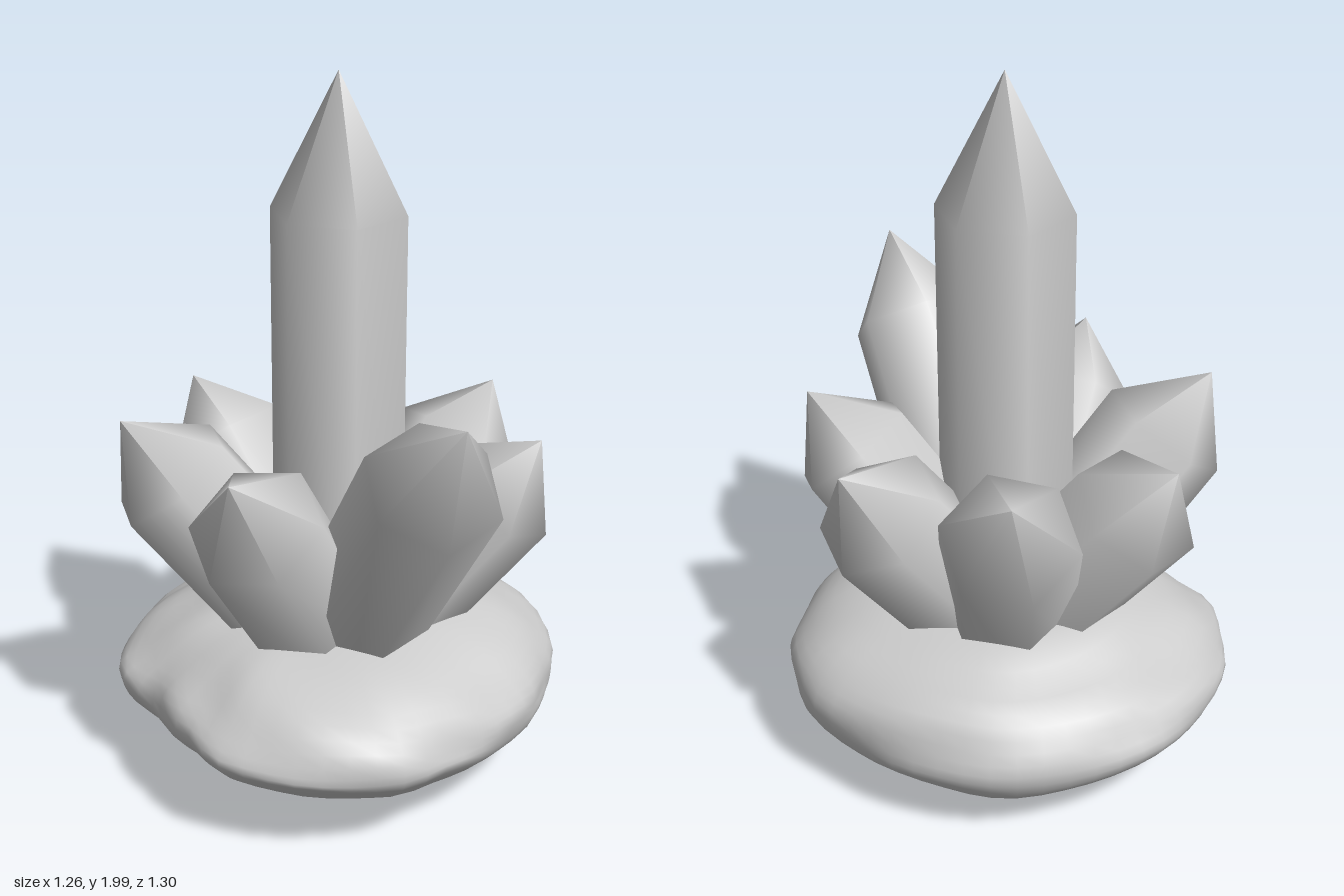
import * as THREE from 'three';
import { mergeVertices } from 'three/addons/utils/BufferGeometryUtils.js';

const stone = new THREE.MeshStandardMaterial({ color: 0xcccccc });
stone.name = 'pale grey stone';

// Shared root point of all crystals, inside the rock
const ROOT = new THREE.Vector3(0.01, 0.31, -0.02);
const LEAN = 0.79; // outward run per unit of height

// Six-sided crystal with a pointed tip, smooth across its edges
function crystal(name, length, direction) {
  const profile = [
    new THREE.Vector2(0.19, 0),
    new THREE.Vector2(0.19, length * 0.778),
    new THREE.Vector2(0, length),
  ];
  const mesh = new THREE.Mesh(new THREE.LatheGeometry(profile, 6, Math.PI / 2), stone);
  mesh.name = name;
  mesh.position.copy(ROOT);
  mesh.quaternion.setFromUnitVectors(new THREE.Vector3(0, 1, 0), direction.normalize());
  return mesh;
}

// Rock outline radius every 20 degrees, from +x towards +z
const OUTLINE = [0.61, 0.59, 0.6, 0.65, 0.655, 0.64, 0.575, 0.555, 0.61,
  0.635, 0.64, 0.645, 0.645, 0.655, 0.64, 0.64, 0.655, 0.645];

// Rock profiles (radius fraction, height) from top to bottom: +x, +z, -x, -z
const PROFILES = [
  [[0, 0.5], [0.48, 0.505], [0.8, 0.44], [0.98, 0.33], [1, 0.25], [0.95, 0.17], [0.76, 0.09], [0.4, 0.04], [0, 0.01]],
  [[0, 0.5], [0.25, 0.5], [0.55, 0.47], [0.85, 0.4], [1, 0.3], [0.92, 0.22], [0.65, 0.11], [0.3, 0.05], [0, 0.01]],
  [[0, 0.5], [0.38, 0.52], [0.66, 0.45], [0.94, 0.33], [1, 0.24], [0.87, 0.15], [0.65, 0.07], [0.4, 0.04], [0, 0.01]],
  [[0, 0.5], [0.46, 0.51], [0.76, 0.44], [0.95, 0.36], [1, 0.23], [0.87, 0.13], [0.58, 0.06], [0.3, 0.02], [0, 0.01]],
].map((pts) => new THREE.SplineCurve(pts.map((p) => new THREE.Vector2(...p))));

const smooth = (t) => t * t * (3 - 2 * t);

function rock() {
  let geo = new THREE.SphereGeometry(1, 56, 32);
  const pos = geo.attributes.position;
  for (let i = 0; i < pos.count; i++) {
    const x = pos.getX(i), y = pos.getY(i), z = pos.getZ(i);
    const turn = (Math.atan2(z, x) / (Math.PI * 2) + 1) % 1;
    const t = Math.acos(THREE.MathUtils.clamp(y, -1, 1)) / Math.PI;
    // blend neighbouring outline radii and profiles
    const o = turn * 18, oi = Math.floor(o);
    const radius = THREE.MathUtils.lerp(OUTLINE[oi % 18], OUTLINE[(oi + 1) % 18], smooth(o - oi));
    const q = turn * 4, qi = Math.floor(q);
    const p = PROFILES[qi % 4].getPoint(t).lerp(PROFILES[(qi + 1) % 4].getPoint(t), smooth(q - qi));
    // gentle lumps
    const edge = Math.hypot(x, z);
    const lump = edge * (Math.sin(7 * x + 5 * y + 1) * Math.sin(6 * z - 4 * y) + 0.6 * Math.sin(11 * z + 9 * y + 4 * x));
    const r = radius * p.x * (1 + 0.01 * lump);
    const a = turn * Math.PI * 2;
    pos.setXYZ(i, r * Math.cos(a), p.y + 0.008 * lump, r * Math.sin(a));
  }
  geo.deleteAttribute('uv');
  geo.deleteAttribute('normal');
  geo = mergeVertices(geo, 1e-4);
  geo.computeVertexNormals();
  const mesh = new THREE.Mesh(geo, stone);
  mesh.name = 'baseRock';
  return mesh;
}

export function createModel() {
  const model = new THREE.Group();
  model.name = 'crystalCluster';
  model.add(rock());
  model.add(crystal('mainCrystal', 2 - ROOT.y, new THREE.Vector3(0, 1, 0)));

  // Ring of seven leaning crystals, by tip height, from +x towards the front
  const tips = [1.03, 1.28, 1.055, 1.07, 1.025, 1.075, 1.025];
  tips.forEach((tip, i) => {
    const a = (i / tips.length) * Math.PI * 2;
    const dir = new THREE.Vector3(LEAN * Math.cos(a), 1, LEAN * Math.sin(a));
    model.add(crystal('sideCrystal' + (i + 1), (tip - ROOT.y) * dir.length(), dir));
  });
  return model;
}
